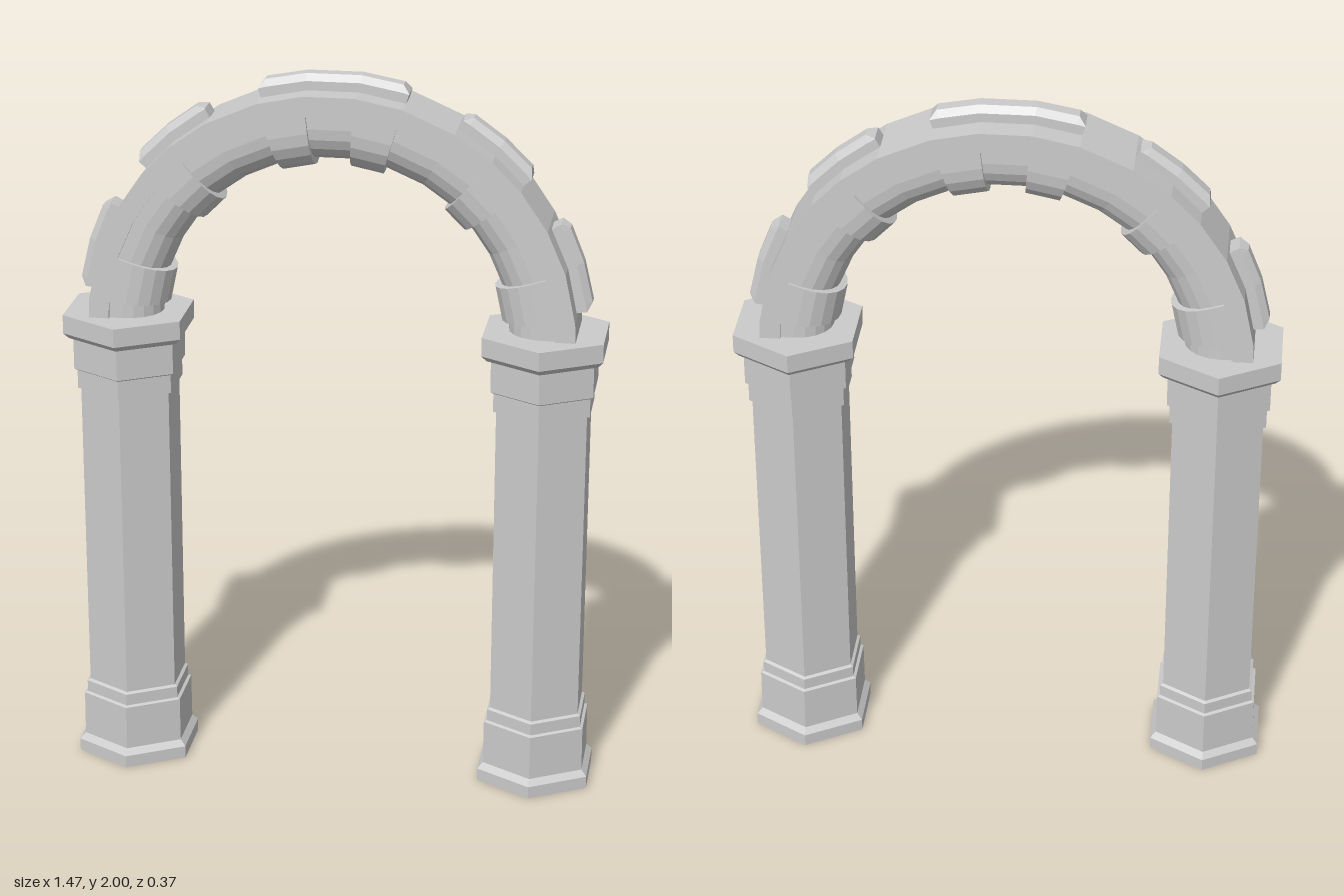
import * as THREE from 'three';

const CENTRE_Y = 1.3;
const material = new THREE.MeshStandardMaterial({ color: 0xcccccc, flatShading: true, side: THREE.DoubleSide });

function addMesh(parent, geometry, name) {
  const mesh = new THREE.Mesh(geometry, material);
  mesh.name = name;
  parent.add(mesh);
  return mesh;
}

// Sweeps convex [radius, z] profiles about the arch centre; angles are in degrees from the crown.
function sweep(sections) {
  const n = sections[0].profile.length;
  const positions = [], index = [];
  for (const { angle, profile } of sections) {
    const a = THREE.MathUtils.degToRad(angle);
    for (const [r, z] of profile) positions.push(r * Math.sin(a), CENTRE_Y + r * Math.cos(a), z);
  }
  for (let s = 0; s < sections.length - 1; s++) {
    for (let i = 0; i < n; i++) {
      const p = s * n + i, q = s * n + (i + 1) % n;
      index.push(p, q, p + n, q, q + n, p + n);
    }
  }
  const last = (sections.length - 1) * n;
  for (let i = 1; i < n - 1; i++) {
    index.push(0, i + 1, i, last, last + i, last + i + 1);
  }
  const geometry = new THREE.BufferGeometry();
  geometry.setAttribute('position', new THREE.Float32BufferAttribute(positions, 3));
  geometry.setIndex(index);
  const flat = geometry.toNonIndexed();
  flat.computeVertexNormals();
  return flat;
}

// Flat on the outside, half-round on the inside of the arch
function roundedProfile(outer, spring, inner, halfDepth, steps = 10) {
  const points = [[outer, -halfDepth], [outer, halfDepth]];
  for (let i = 0; i <= steps; i++) {
    const t = Math.PI * i / steps;
    points.push([spring - (spring - inner) * Math.sin(t), halfDepth * Math.cos(t)]);
  }
  return points;
}

const constant = (angles, profile) => sweep(angles.map(angle => ({ angle, profile })));

// Raised trim with bevelled long sides and ends
function trimGeometry(angles) {
  const section = (angle, top, halfTop) => ({
    angle,
    profile: [[top, -halfTop], [top, halfTop], [0.685, 0.033], [0.63, 0.033], [0.63, -0.033], [0.685, -0.033]],
  });
  const first = angles[0], last = angles[angles.length - 1];
  return sweep([
    section(first, 0.687, 0.032),
    section(first + 1.8, 0.703, 0.018),
    ...angles.slice(1, -1).map(a => section(a, 0.703, 0.018)),
    section(last - 1.8, 0.703, 0.018),
    section(last, 0.687, 0.032),
  ]);
}

export function createModel() {
  const model = new THREE.Group();
  model.name = 'archway';

  // Hexagonal columns with stepped base and capital
  const columnProfile = [
    [0, 0], [0.177, 0], [0.177, 0.035], [0.16, 0.052], [0.159, 0.178],
    [0.15, 0.182], [0.15, 0.215], [0.141, 0.22], [0.141, 1.1],
    [0.15, 1.103], [0.15, 1.155], [0.159, 1.16], [0.159, 1.245],
    [0.172, 1.25], [0.187, 1.265], [0.187, 1.317], [0, 1.317],
  ].map(([r, y]) => new THREE.Vector2(r, y));
  const columnGeometry = new THREE.LatheGeometry(columnProfile, 6);
  for (const side of [-1, 1]) {
    addMesh(model, columnGeometry, side > 0 ? 'leftColumn' : 'rightColumn').position.x = side * 0.571;
  }

  // Arch: outer rim and the recessed round rib beneath it
  const half = [6, 17, 30, 40.5, 50, 61, 72, 84, 91];
  const angles = [...half.map(a => -a).reverse(), ...half];
  const arch = new THREE.Group();
  arch.name = 'arch';
  model.add(arch);
  addMesh(arch, constant(angles, [[0.66, -0.099], [0.66, 0.099], [0.605, 0.099], [0.605, -0.099]]), 'archRim');
  addMesh(arch, constant(angles, roundedProfile(0.62, 0.57, 0.473, 0.09)), 'archRib');

  // Bands around the rib and raised trims on the rim, mirrored about the crown
  const bandProfile = roundedProfile(0.605, 0.56, 0.454, 0.099);
  addMesh(arch, trimGeometry([-17, -6, 6, 17]), 'crownTrim');
  for (const side of [-1, 1]) {
    const mirrored = list => list.map(a => a * side).sort((a, b) => a - b);
    for (const span of [[6, 17], [40.5, 50], [72, 84]]) {
      addMesh(arch, constant(mirrored(span), bandProfile), 'archBand');
    }
    for (const span of [[30, 40, 50], [62, 72, 83]]) {
      addMesh(arch, trimGeometry(mirrored(span)), 'rimTrim');
    }
  }
  return model;
}
